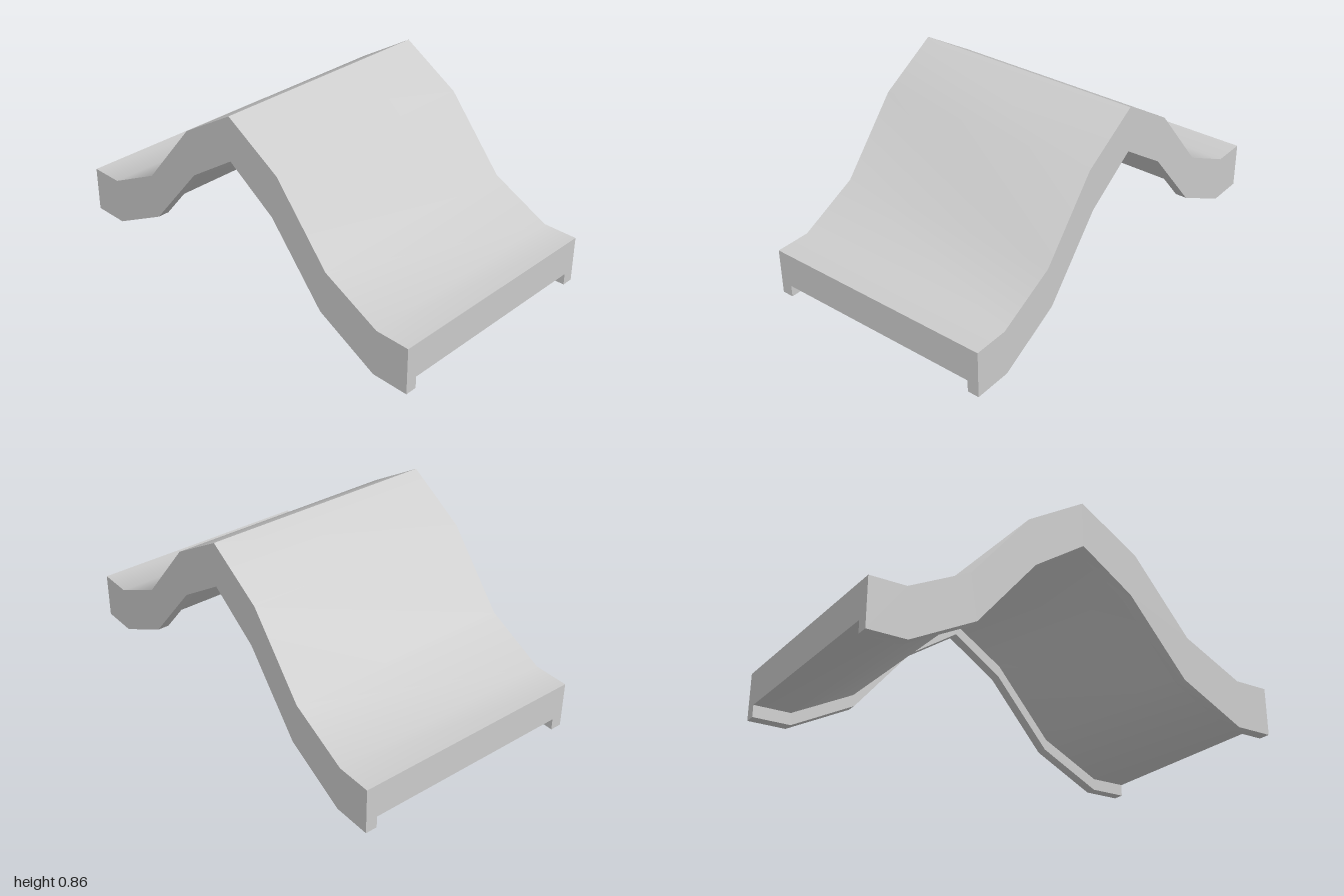
import * as THREE from 'three';
import { toCreasedNormals } from 'three/addons/utils/BufferGeometryUtils.js';

// Half profile from the ridge to the foot: [topX, topY, bottomX, bottomY]
const HALF = [
  [0, 0.86, 0, 0.65],
  [0.28, 0.69, 0.247, 0.485],
  [0.555, 0.36, 0.525, 0.155],
  [0.835, 0.22, 0.823, 0],
  [1, 0.22, 1, 0],
];

// Channel cross-section: [depth from top (0) to bottom (1), z]
const W = 0.555, IN = 0.5, DECK = 0.745;
const SECTION = [
  [0, W], [0, -W], [1, -W], [1, -IN], [DECK, -IN], [DECK, IN], [1, IN], [1, W],
];

function sweepGeometry() {
  const mirrored = HALF.slice(1).reverse().map(([tx, ty, bx, by]) => [-tx, ty, -bx, by]);
  const stations = [...mirrored, ...HALF];
  const n = SECTION.length, last = (stations.length - 1) * n;
  const positions = [], index = [];

  for (const [tx, ty, bx, by] of stations)
    for (const [t, z] of SECTION) positions.push(tx + (bx - tx) * t, ty + (by - ty) * t, z);

  const quad = (a, b, c, d) => index.push(a, b, c, a, c, d);

  // Long faces between neighbouring stations
  for (let s = 0; s < last; s += n)
    for (let i = 0; i < n; i++) {
      const j = (i + 1) % n;
      quad(s + i, s + n + i, s + n + j, s + j);
    }

  // End caps: deck edge plus the two rail ends
  for (const [a, b, c, d] of [[0, 1, 4, 5], [1, 2, 3, 4], [0, 5, 6, 7]]) {
    quad(a, b, c, d);
    quad(last + a, last + d, last + c, last + b);
  }

  const geometry = new THREE.BufferGeometry();
  geometry.setAttribute('position', new THREE.Float32BufferAttribute(positions, 3));
  geometry.setIndex(index);
  // Gentle bends stay smooth; the ridge and the edges stay sharp
  return toCreasedNormals(geometry, THREE.MathUtils.degToRad(40));
}

export function createModel() {
  const group = new THREE.Group();
  group.name = 'ramp';
  const deck = new THREE.Mesh(
    sweepGeometry(),
    new THREE.MeshStandardMaterial({ color: 0xcccccc }),
  );
  deck.name = 'deckWithSideRails';
  group.add(deck);
  return group;
}
